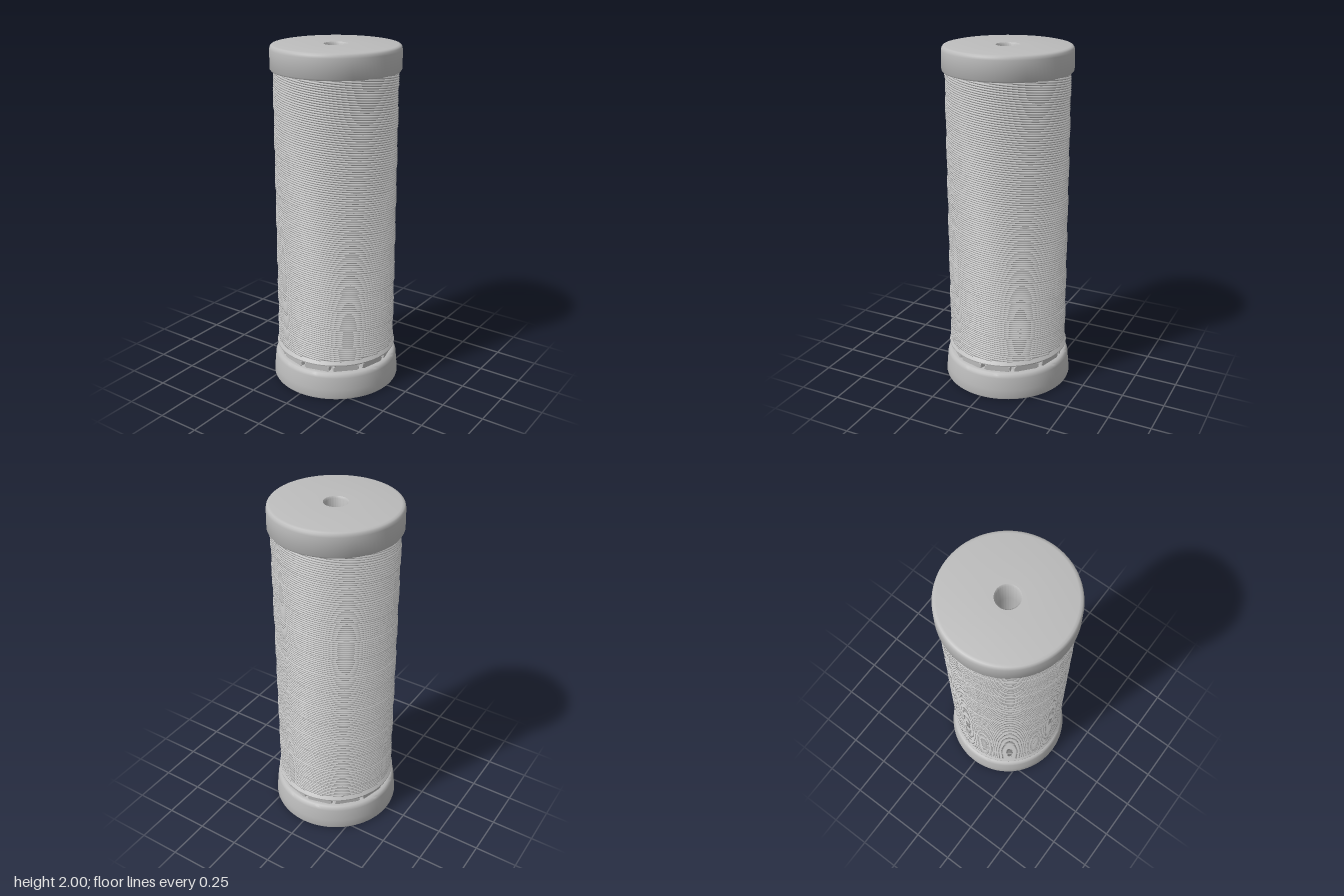
import * as THREE from 'three';
import { toCreasedNormals } from 'three/addons/utils/BufferGeometryUtils.js';

const grey = new THREE.MeshStandardMaterial({ color: 0xbcbcbc });
grey.name = 'grey';

function add(group, name, geometry) {
  const mesh = new THREE.Mesh(geometry, grey);
  mesh.name = name;
  group.add(mesh);
  return mesh;
}

// Closed profile of [radius, height] pairs, turned about the y axis
function turned(profile) {
  const points = [...profile, profile[0]].map(([r, y]) => new THREE.Vector2(r, y));
  return toCreasedNormals(new THREE.LatheGeometry(points, 96), 0.7);
}

// One strand: a ridged ribbon running down a helix
function strand(start, radius, top, bottom, turns, halfWidth) {
  const steps = Math.round(turns * 64);
  const section = [[-0.008, -halfWidth], [0, -halfWidth * 0.4], [0, halfWidth * 0.4], [-0.008, halfWidth]];
  const positions = [], index = [], n = section.length;
  for (let i = 0; i <= steps; i++) {
    const t = i / steps, a = start + t * turns * Math.PI * 2;
    const y = THREE.MathUtils.lerp(top, bottom, t);
    for (const [dr, dy] of section) {
      positions.push(Math.sin(a) * (radius + dr), y + dy, Math.cos(a) * (radius + dr));
    }
    if (i === steps) break;
    for (let j = 0; j < n - 1; j++) {
      const p = i * n + j, q = p + n;
      index.push(p, q, q + 1, p, q + 1, p + 1);
    }
  }
  const g = new THREE.BufferGeometry();
  g.setAttribute('position', new THREE.Float32BufferAttribute(positions, 3));
  g.setIndex(index);
  g.computeVertexNormals();
  return g;
}

export function createModel() {
  const model = new THREE.Group();
  model.name = 'threadSpool';

  // Top cap with a bevelled rim and bore
  add(model, 'topCap', turned([
    [0.06, 1.85], [0.345, 1.86], [0.358, 1.861], [0.364, 1.87], [0.363, 1.975],
    [0.36, 1.989], [0.353, 1.997], [0.34, 2], [0.068, 2], [0.06, 1.99],
  ]));

  // Flared base
  add(model, 'base', turned([
    [0.06, 0], [0.366, 0], [0.375, 0.004], [0.378, 0.014], [0.374, 0.06], [0.367, 0.135],
    [0.362, 0.15], [0.353, 0.159], [0.34, 0.163], [0.06, 0.163],
  ]));

  // Hollow core joining the caps
  add(model, 'core', turned([[0.06, 0.16], [0.29, 0.16], [0.29, 0.21], [0.338, 0.22], [0.338, 1.86], [0.06, 1.86]]));

  // Thin flange under the winding
  add(model, 'flange', turned([
    [0.28, 0.2], [0.345, 0.202], [0.355, 0.208], [0.356, 0.215], [0.349, 0.223], [0.34, 0.232], [0.28, 0.232],
  ]));

  // Ring of thread-catching teeth between base and flange
  const teeth = new THREE.Group();
  teeth.name = 'catchTeeth';
  const toothShape = new THREE.Shape([
    [-0.075, 0.17], [-0.06, 0.161], [0.06, 0.161], [0.075, 0.17],
    [0.072, 0.19], [0.055, 0.199], [-0.055, 0.199], [-0.072, 0.19],
  ].map(([x, y]) => new THREE.Vector2(x, y)));
  for (let i = 0; i < 12; i++) {
    const geometry = new THREE.ExtrudeGeometry(toothShape, { depth: 0.05, bevelEnabled: true, bevelSize: 0.003, bevelThickness: 0.008, bevelSegments: 2 });
    add(teeth, 'tooth', geometry.translate(0, 0, 0.272)).rotation.y = (i + 0.5) * Math.PI / 6;
  }
  model.add(teeth);

  // Winding: strands side by side, half of them forming a raised band
  const winding = new THREE.Group();
  winding.name = 'winding';
  const count = 18, turns = 7;
  for (let s = 0; s < count; s++) {
    const radius = s < count / 2 ? 0.349 : 0.346;
    add(winding, 'thread', strand(s / count * Math.PI * 2, radius, 1.855, 0.235, turns, 0.0064));
  }
  model.add(winding);
  return model;
}
